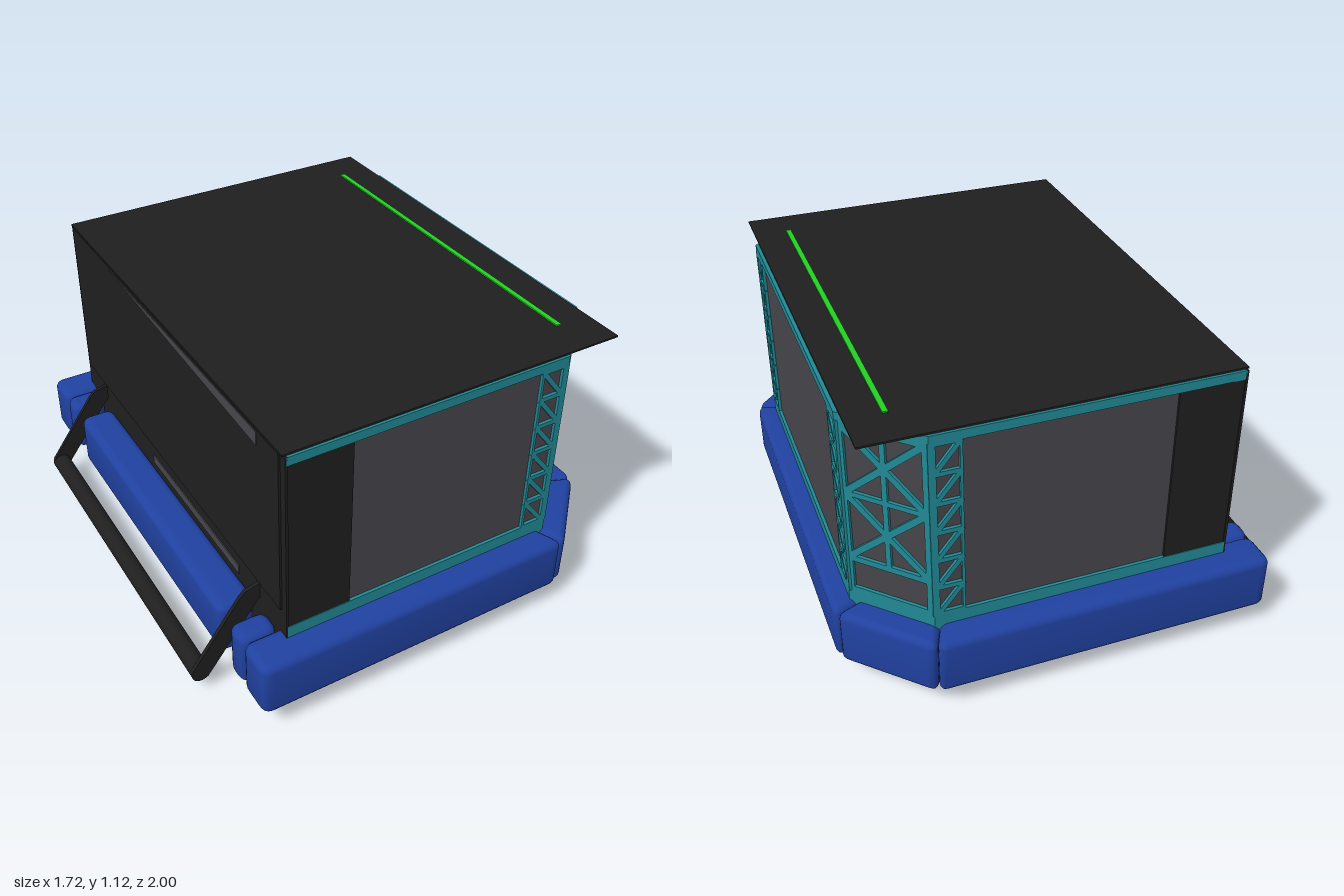
import * as THREE from 'three';
import { mergeGeometries, toCreasedNormals } from 'three/addons/utils/BufferGeometryUtils.js';

const mat = (name, color) => {
  const m = new THREE.MeshStandardMaterial({ color });
  m.name = name;
  return m;
};

export function createModel() {
  const blue = mat('bumper blue', 0x2041a0);
  const teal = mat('frame teal', 0x208995);
  const gray = mat('panel gray', 0x46454a);
  const black = mat('shell black', 0x1f1f1f);
  const green = mat('stripe green', 0x22d022);
  const model = new THREE.Group();

  const add = (name, geo, material) => {
    const mesh = new THREE.Mesh(geo, material);
    mesh.name = name;
    model.add(mesh);
  };
  // box given by its limits
  const box = (name, [x0, x1], [y0, y1], [z0, z1], material) =>
    add(name, new THREE.BoxGeometry(x1 - x0, y1 - y0, z1 - z0)
      .translate((x0 + x1) / 2, (y0 + y1) / 2, (z0 + z1) / 2), material);
  // plan outline of [x, z] points raised from y0 to y1
  const slab = (name, pts, y0, y1, material) => {
    const shape = new THREE.Shape(pts.map(([x, z]) => new THREE.Vector2(x, -z)));
    add(name, new THREE.ExtrudeGeometry(shape, { depth: y1 - y0, bevelEnabled: false })
      .rotateX(-Math.PI / 2).translate(0, y0, 0), material);
  };
  // padded bumper section: rounded plan corners and rounded top and bottom edges
  const cushion = (name, pts) => {
    const v = pts.map(([x, z]) => new THREE.Vector2(x, -z));
    const shape = new THREE.Shape();
    v.forEach((p, i) => {
      const toward = (q) => p.clone().add(q.clone().sub(p).setLength(0.042));
      const a = toward(v[(i + v.length - 1) % v.length]);
      const b = toward(v[(i + 1) % v.length]);
      if (i) shape.lineTo(a.x, a.y);
      else shape.moveTo(a.x, a.y);
      shape.quadraticCurveTo(p.x, p.y, b.x, b.y);
    });
    shape.closePath();
    const round = 0.03;
    const geo = new THREE.ExtrudeGeometry(shape, {
      depth: 0.225 - 2 * round, bevelSize: round, bevelThickness: round,
      bevelOffset: -round, bevelSegments: 5, curveSegments: 6,
    }).rotateX(-Math.PI / 2).translate(0, 0.09 + round, 0);
    add(name, toCreasedNormals(geo, 0.7), blue);
  };
  // body outline with two cut corners, pulled in by d
  const outline = (d) => {
    const c = d * 0.414;
    const half = [[-0.575, 0.9 - d], [0.55 - c, 0.9 - d], [0.79 - d, 0.66 - c]];
    return [...half, ...half.map(([x, z]) => [x, -z]).reverse()];
  };

  // body: recessed panels between two frame bands
  slab('lowerFrame', outline(0), 0.1, 0.365, teal);
  slab('wallPanels', outline(0.012), 0.365, 1.07, gray);
  slab('upperFrame', outline(0), 1.07, 1.105, teal);
  slab('underside', outline(0.048), 0.096, 0.12, black);

  // roof sheet and its stripe
  box('roof', [-0.585, 0.776], [1.105, 1.112], [-0.89, 0.89], black);
  box('roofStripe', [0.628, 0.648], [1.112, 1.117], [-0.735, 0.735], green);

  // rear wall with a raised upper panel and narrow openings
  box('rearWall', [-0.58, -0.57], [0.12, 1.105], [-0.9, 0.9], black);
  box('rearPanel', [-0.588, -0.58], [0.43, 1.105], [-0.87, 0.87], black);
  box('rearLowSlot', [-0.584, -0.578], [0.33, 0.37], [-0.2, 0.55], gray);
  const slot = new THREE.Shape([[-0.48, 1.093], [0.73, 1.045], [0.73, 1.1]]
    .map(([z, y]) => new THREE.Vector2(z, y)));
  add('rearTopSlot', new THREE.ExtrudeGeometry(slot, { depth: 0.004, bevelEnabled: false })
    .rotateY(-Math.PI / 2).translate(-0.587, 0, 0), gray);

  // flat bars in a wall plane, merged into one lattice
  const lattice = (name, origin, tangent, normal, bars) => {
    const at = ([u, y]) => new THREE.Vector3(origin[0] + tangent[0] * u, y, origin[1] + tangent[1] * u);
    const n = new THREE.Vector3(normal[0], 0, normal[1]).normalize();
    const geos = bars.map(([a, b, w]) => {
      const p = at(a), q = at(b);
      const dir = q.clone().sub(p).normalize();
      const m = new THREE.Matrix4().makeBasis(dir, n.clone().cross(dir), n);
      m.setPosition(p.clone().add(q).multiplyScalar(0.5).addScaledVector(n, -0.007));
      return new THREE.BoxGeometry(p.distanceTo(q), w, 0.014).applyMatrix4(m);
    });
    add(name, mergeGeometries(geos), teal);
  };

  // narrow truss: two posts, rungs and diagonals
  const narrowBars = [[[0.005, 0.36], [0.005, 1.075], 0.01], [[0.104, 0.36], [0.104, 1.075], 0.026]];
  const cell = 0.705 / 6;
  for (let i = 0; i < 6; i++) {
    const y = 0.365 + i * cell;
    narrowBars.push([[0, y], [0.1, y], 0.018], [[0.004, y + cell], [0.098, y], 0.018]);
  }
  narrowBars.push([[0, 1.07], [0.1, 1.07], 0.018]);

  // wide corner truss: frame, open box at the foot, two crossed bays
  const W = 0.339;
  const wideBars = [
    [[0.013, 0.32], [0.013, 1.1], 0.026], [[W - 0.013, 0.32], [W - 0.013, 1.1], 0.026],
    [[0, 0.37], [W, 0.37], 0.022], [[0, 0.51], [W, 0.51], 0.024], [[0, 1.065], [W, 1.065], 0.022],
    [[W / 2, 0.51], [W / 2, 1.07], 0.02], [[0, 0.79], [W, 0.79], 0.02],
  ];
  for (const [y0, y1] of [[0.515, 0.79], [0.79, 1.065]]) {
    wideBars.push([[0.015, y0], [W - 0.015, y1], 0.025], [[0.015, y1], [W - 0.015, y0], 0.025]);
  }

  const r = Math.SQRT1_2;
  for (const s of [1, -1]) {
    const side = s > 0 ? 'Left' : 'Right';
    lattice('sideTruss' + side, [0.437, 0.9 * s], [1, 0], [0, s], narrowBars);
    lattice('cornerTruss' + side, [0.55, 0.9 * s], [r, -r * s], [1, s], wideBars);
    lattice('endTruss' + side, [0.79, 0.553 * s], [0, s], [1, 0], narrowBars);

    // black panel at the rear of each side
    box('sidePanel' + side, [-0.575, -0.325], [0.365, 1.07],
      s > 0 ? [0.885, 0.897] : [-0.897, -0.885], black);

    // bumper sections along the side, around the corner and behind
    const pad = (name, pts) => cushion(name + side, pts.map(([x, z]) => [x, z * s]));
    pad('sideBumper', [[-0.725, 1], [0.575, 1], [0.509, 0.84], [-0.725, 0.84]]);
    pad('cornerBumper', [[0.575, 1], [0.86, 0.715], [0.7, 0.649], [0.509, 0.84]]);
    pad('rearStubBumper', [[-0.725, 0.84], [-0.58, 0.84], [-0.58, 0.735], [-0.725, 0.735]]);

    // wheels: tyre with a slightly smaller outer hub
    for (const x of [-0.455, 0.515]) {
      const wheel = (name, radius, width, z, m) => {
        const g = new THREE.CylinderGeometry(radius, radius, width, 40);
        add(name, g.rotateX(Math.PI / 2).translate(x, 0.1, z * s), m);
      };
      wheel('tyre', 0.1, 0.105, 0.637, gray);
      wheel('hub', 0.094, 0.06, 0.718, black);
    }

    // flat arm of the rear handle, with a bend near the body
    const arm = new THREE.Shape([
      [-0.57, 0.418], [-0.64, 0.4], [-0.66, 0.38], [-0.858, 0.11], [-0.8, 0.06],
      [-0.585, 0.345], [-0.57, 0.355],
    ].map(([x, y]) => new THREE.Vector2(x, y)));
    add('handleArm' + side, new THREE.ExtrudeGeometry(arm, { depth: 0.015, bevelEnabled: false })
      .translate(0, 0, s > 0 ? 0.695 : -0.71), black);
  }

  // front and rear bumper sections
  cushion('endBumper', [[0.86, 0.715], [0.86, -0.715], [0.7, -0.649], [0.7, 0.649]]);
  cushion('rearBumper', [[-0.725, 0.668], [-0.58, 0.668], [-0.58, -0.668], [-0.725, -0.668]]);

  // cross bar of the rear handle
  add('handleBar', new THREE.CylinderGeometry(0.036, 0.036, 1.42, 24)
    .rotateX(Math.PI / 2).translate(-0.826, 0.088, 0), black);

  return model;
}
